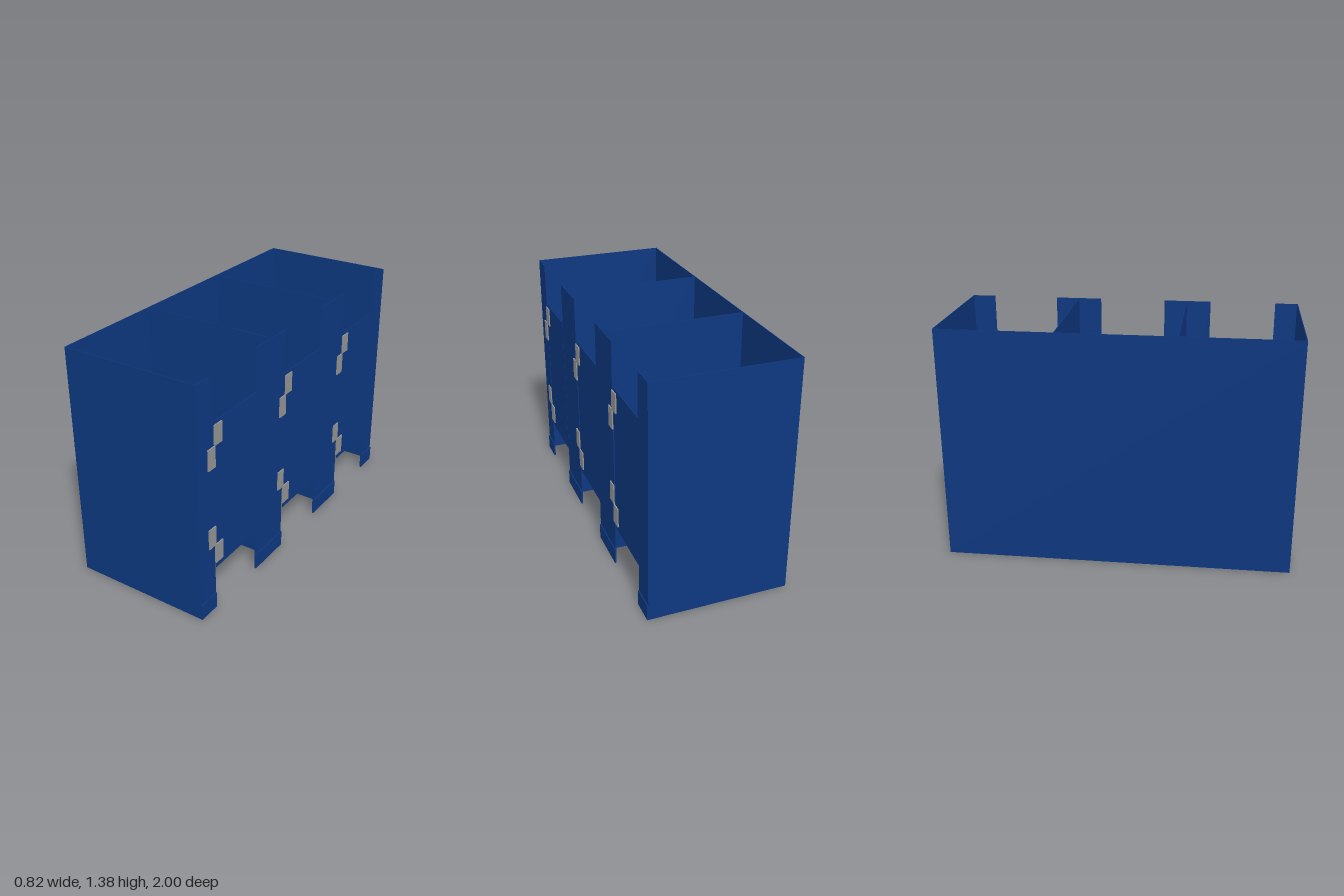
import * as THREE from 'three';

const HEIGHT = 1.375, BACK = -0.41, FACE = 0.4, T = 0.004;

export function createModel() {
  const model = new THREE.Group();
  model.name = 'cubicleRow';
  const blue = new THREE.MeshStandardMaterial({ color: 0x0e3880 });
  blue.name = 'blue panel';
  const grey = new THREE.MeshStandardMaterial({ color: 0x949494 });
  grey.name = 'grey metal';

  // Box given by its lower and upper limits on each axis
  function slab(name, material, [x0, x1], [y0, y1], [z0, z1]) {
    const mesh = new THREE.Mesh(new THREE.BoxGeometry(x1 - x0, y1 - y0, z1 - z0), material);
    mesh.position.set((x0 + x1) / 2, (y0 + y1) / 2, (z0 + z1) / 2);
    mesh.name = name;
    model.add(mesh);
  }

  // Rear wall, end walls and dividers, open at top and bottom
  slab('rearWall', blue, [BACK, BACK + T], [0, HEIGHT], [-1, 1]);
  for (const [name, z] of [['frontEndWall', 1 - T / 2], ['divider', 0.333],
    ['divider', -0.333], ['backEndWall', -1 + T / 2]]) {
    slab(name, blue, [BACK + T, FACE - T], [0, HEIGHT], [z - T / 2, z + T / 2]);
  }

  // Full-height posts, each with a shallow shoe at the floor
  for (const span of [[0.866, 1], [0.198, 0.478], [-0.471, -0.194], [-1, -0.862]]) {
    slab('post', blue, [FACE - T, FACE], [0, HEIGHT], span);
    slab('postShoe', blue, [FACE, FACE + 0.006], [0, 0.093], span);
  }

  // Doors, with a latch plate on the inside of the closing edge
  for (const [z0, z1] of [[0.482, 0.858], [-0.194, 0.184], [-0.862, -0.489]]) {
    slab('door', blue, [FACE - T, FACE], [0.253, 1.125], [z0, z1]);
    slab('latch', grey, [FACE - 0.01, FACE - T], [0.6, 0.72], [z0 - 0.034, z0 + 0.026]);
  }

  // Hinges: one leaf on the door and one on the post, mirrored top to bottom
  for (const z of [0.863, 0.19, -0.473]) {
    const leaf = (y, span) => slab('hingeLeaf', grey, [FACE, FACE + 0.007], y, span);
    leaf([0.993, 1.107], [z - 0.065, z]);
    leaf([0.873, 0.993], [z - 0.005, z + 0.055]);
    leaf([0.405, 0.522], [z, z + 0.059]);
    leaf([0.288, 0.405], [z - 0.063, z + 0.005]);
  }

  return model;
}
